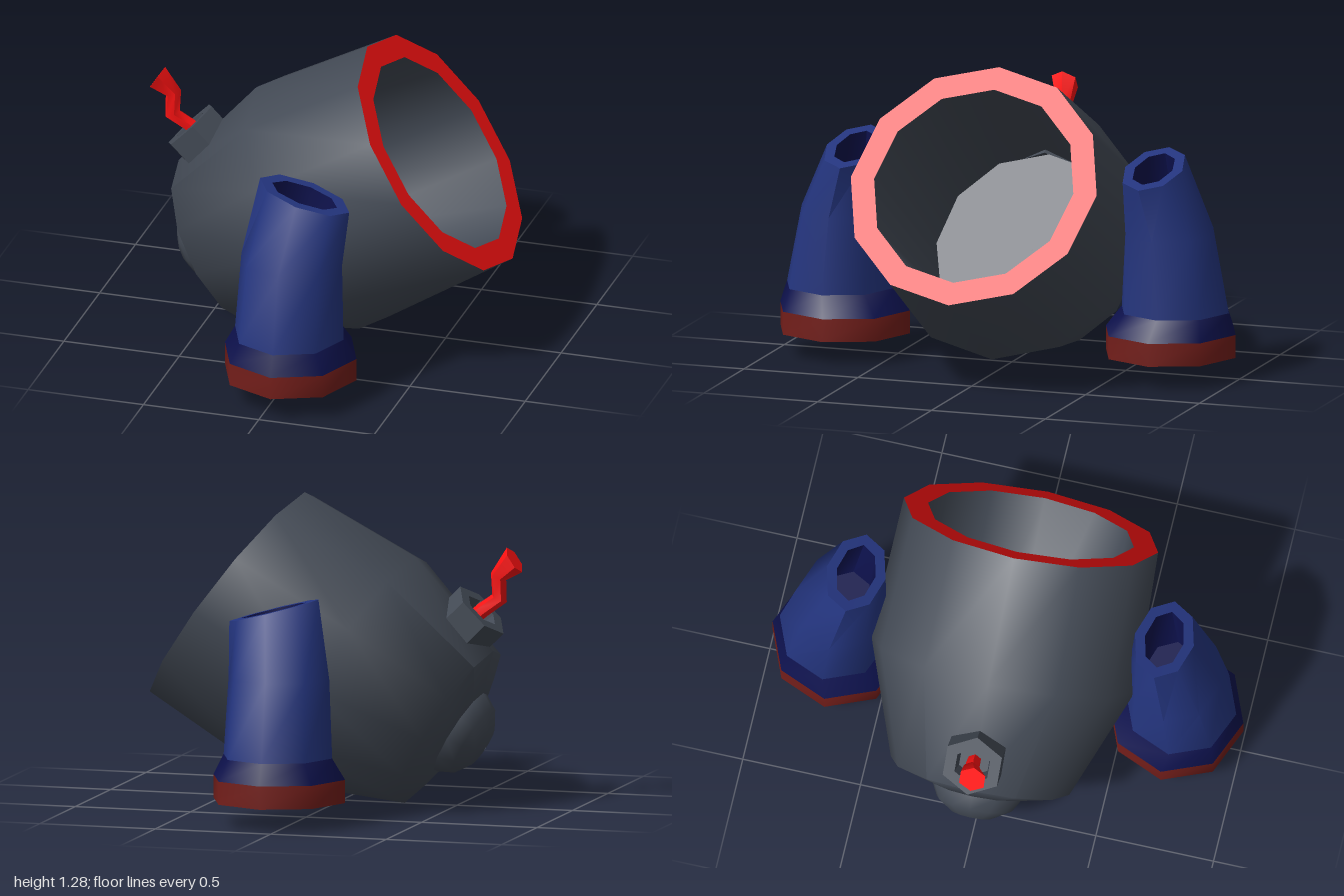
import * as THREE from 'three';
import { toCreasedNormals } from 'three/addons/utils/BufferGeometryUtils.js';

const paint = (color) => new THREE.MeshStandardMaterial({ color, side: THREE.DoubleSide });
const iron = paint(0x434a55), red = paint(0xff1212), darkRed = paint(0x741e1a);
const blue = paint(0x24357f), navy = paint(0x0d114c);
const V = (x, y, z) => new THREE.Vector3(x, y, z);

// A ring is a centre plus two half-axes; rings run in the direction u x w
const ring = (c, u, w) => ({ c, u, w });
const scaled = (r, s, offset = V(0, 0, 0)) =>
  ring(r.c.clone().add(offset), r.u.clone().multiplyScalar(s), r.w.clone().multiplyScalar(s));

// Skin a row of rings, keeping strong edges sharp
function loft(name, rings, sides, material, crease = 1) {
  const pos = [], index = [];
  for (const { c, u, w } of rings) {
    for (let i = 0; i < sides; i++) {
      const t = (i / sides) * Math.PI * 2;
      const p = c.clone().addScaledVector(u, Math.cos(t)).addScaledVector(w, Math.sin(t));
      pos.push(p.x, p.y, p.z);
    }
  }
  for (let k = 0; k < rings.length - 1; k++) {
    for (let i = 0; i < sides; i++) {
      const j = (i + 1) % sides, a = k * sides, b = a + sides;
      index.push(a + i, a + j, b + j, a + i, b + j, b + i);
    }
  }
  const g = new THREE.BufferGeometry();
  g.setAttribute('position', new THREE.Float32BufferAttribute(pos, 3));
  g.setIndex(index);
  const mesh = new THREE.Mesh(toCreasedNormals(g, crease), material);
  mesh.name = name;
  return mesh;
}

// Barrel, tilted 30 degrees towards +x
function barrel() {
  const group = new THREE.Group();
  group.name = 'barrel';
  const n = V(-0.507, 0.862, 0), axis = V(0.862, 0.507, 0);
  const round = (x, y, r) => ring(V(x, y, 0), n.clone().multiplyScalar(r), V(0, 0, r));
  const mouth = ring(V(0.475, 0.84, 0), V(-0.315, 0.44, 0), V(0, 0, 0.54));
  const lip = scaled(mouth, 0.81);
  const back = round(-0.515, 0.305, 0.2);

  group.add(loft('barrelShell', [
    scaled(back, 0.005), back, round(-0.465, 0.325, 0.379), round(-0.035, 0.545, 0.5625), mouth,
  ], 12, iron));
  group.add(loft('muzzleRim', [mouth, lip], 12, red));
  const floor = round(-0.25, 0.42, 0.42);
  group.add(loft('bore', [lip, floor, scaled(floor, 0.005)], 12, iron));

  // Rounded knob at the rear
  const knob = [[0.005, -0.125], [0.09, -0.11], [0.16, -0.065], [0.195, 0], [0.195, 0.04]];
  group.add(loft('rearKnob', knob.map(([r, d]) =>
    scaled(back, r / 0.2, axis.clone().multiplyScalar(d))), 12, iron));
  return group;
}

// Hexagonal fuse socket with a crooked fuse
function fuse() {
  const group = new THREE.Group();
  group.name = 'fuse';
  const out = V(-0.71, 0.704, 0);
  const hex = (r, d) => ring(V(-0.608, 0.82, 0).addScaledVector(out, d),
    V(0.704 * r, 0.71 * r, 0), V(0, 0, -r));
  // half-axes are ordered so that rings advance outwards
  const rings = [hex(0.133, -0.16), hex(0.133, 0), hex(0.08, 0), hex(0.07, -0.06), hex(0.001, -0.06)];
  group.add(loft('fuseSocket', rings, 6, iron, 0.6));

  const path = [
    [-0.57, 0.785, 0, 0.03, 0.8], [-0.61, 0.82, 0, 0.032, 0.8], [-0.678, 0.87, 0.02, 0.035, 0.45],
    [-0.677, 0.962, 0.01, 0.036, 0.4], [-0.74, 1.032, 0.03, 0.06, 0.98], [-0.74, 1.032, 0.03, 0.001, 0.98],
  ];
  group.add(loft('fuseCord', path.map(([x, y, z, r, a]) =>
    ring(V(x, y, z), V(Math.cos(a) * r, Math.sin(a) * r, 0), V(0, 0, -r))), 6, red, 0.8));
  return group;
}

// Tapered octagonal leg on a banded foot; side is +1 or -1 along z
function leg(side) {
  const group = new THREE.Group();
  group.name = side > 0 ? 'frontLeg' : 'backLeg';
  const flat = (x, y, z, rx, rz = rx) => ring(V(x, y, side * z), V(rx, 0, 0), V(0, 0, -rz));
  const base = flat(0.05, 0.098, 0.715, 0.285);
  const band = flat(0.05, 0.195, 0.715, 0.285);
  const ankle = flat(0.05, 0.285, 0.735, 0.235);
  const knee = flat(0.053, 0.61, 0.71, 0.218, 0.195);
  const top = ring(V(0.092, 0.882, side * 0.655), V(0.193, -0.053, 0), V(0, 0, -0.125));
  const hole = ring(top.c, V(0.14, -0.038, 0), V(0, 0, -0.082));
  const well = flat(0.055, 0.6, 0.69, 0.14, 0.11);
  group.add(loft('footBand', [base, band], 8, darkRed));
  group.add(loft('footSole', [scaled(base, 0.005), base], 8, navy));
  group.add(loft('ankle', [band, ankle], 8, navy));
  group.add(loft('legTube', [ankle, knee, top, hole], 8, blue));
  group.add(loft('legWell', [hole, well, scaled(well, 0.005)], 8, navy));
  return group;
}

export function createModel() {
  const model = new THREE.Group();
  model.name = 'mortar';
  model.add(barrel(), fuse(), leg(1), leg(-1));
  return model;
}
